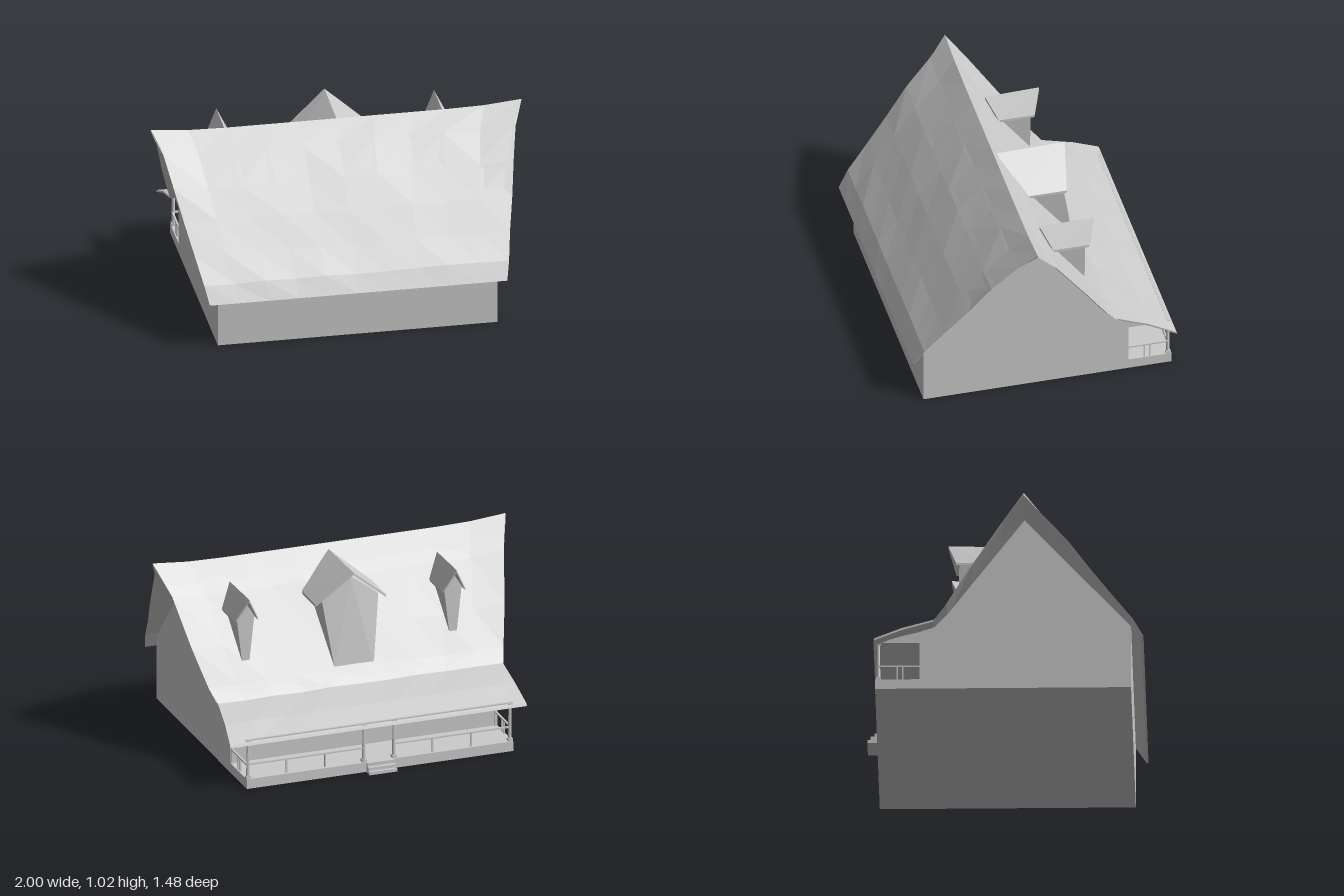
import * as THREE from 'three';
import { ConvexGeometry } from 'three/addons/geometries/ConvexGeometry.js';

const material = new THREE.MeshStandardMaterial({ color: 0xcccccc, flatShading: true, side: THREE.DoubleSide });
const CX = 0.01; // house body sits slightly off the roof centre

function part(group, name, geometry) {
  const mesh = new THREE.Mesh(geometry, material);
  mesh.name = name;
  group.add(mesh);
  return mesh;
}

function box(group, name, x0, x1, y0, y1, z0, z1) {
  const g = new THREE.BoxGeometry(x1 - x0, y1 - y0, z1 - z0);
  part(group, name, g).position.set((x0 + x1) / 2, (y0 + y1) / 2, (z0 + z1) / 2);
}

// Side profile given as [z, y] pairs, extruded along x
function sideExtrude(points, x0, x1) {
  const shape = new THREE.Shape(points.map(([z, y]) => new THREE.Vector2(z, y)));
  const g = new THREE.ExtrudeGeometry(shape, { depth: x1 - x0, bevelEnabled: false });
  return g.rotateY(-Math.PI / 2).translate(x1, 0, 0);
}

const hash = (i, j) => { const s = Math.sin(i * 12.99 + j * 78.23) * 4375.85; return s - Math.floor(s) - 0.5; };

// Main roof rows: z, y, left edge x, right edge x (front eave over the ridge to porch eave)
const rows = [
  [0.73, 0.28, -0.80, 0.805], [0.675, 0.372, -0.82, 0.825], [0.57, 0.495, -0.85, 0.85],
  [0.45, 0.638, -0.885, 0.885], [0.33, 0.775, -0.92, 0.915], [0.2, 0.908, -0.95, 0.95],
  [0.11, 1.0, -1, 1], [0.0, 0.86, -0.945, 0.935], [-0.17, 0.63, -0.885, 0.89],
  [-0.30, 0.452, -0.83, 0.84], [-0.37, 0.375, -0.805, 0.81], [-0.54, 0.325, -0.81, 0.835],
  [-0.685, 0.262, -0.82, 0.86],
];

// Thin curved sheet with a top skin, an under skin and closed edges
function mainRoof() {
  const cols = 10, n = rows.length, t = 0.014, pos = [], idx = [];
  for (let layer = 0; layer < 2; layer++) {
    rows.forEach(([z, y, xl, xr], i) => {
      const a = rows[Math.max(i - 1, 0)], b = rows[Math.min(i + 1, n - 1)];
      const dz = b[0] - a[0], dy = b[1] - a[1], len = Math.hypot(dz, dy);
      for (let j = 0; j <= cols; j++) {
        const u = j / cols;
        const x = THREE.MathUtils.lerp(xl, xr, u);
        const lift = (i > 3 && i < 9) ? Math.max(0, Math.abs(x) - 0.75) * 0.09 : 0;
        const inner = i > 0 && i < n - 1 && i !== 6 && j > 0 && j < cols;
        const wob = inner ? hash(i, j) * 0.01 : 0;
        pos.push(x, y + lift + wob - layer * t * Math.abs(dz) / len, z + layer * t * dy / len);
      }
    });
  }
  const w = cols + 1, off = n * w;
  const quad = (a, b, c, d) => idx.push(a, b, c, a, c, d);
  for (let i = 0; i < n - 1; i++) {
    for (let j = 0; j < cols; j++) {
      const a = i * w + j, b = a + 1, c = b + w, d = a + w;
      quad(a, b, c, d);
      quad(off + d, off + c, off + b, off + a);
    }
    const l = i * w, r = l + cols;
    quad(l, l + w, off + l + w, off + l);
    quad(r, off + r, off + r + w, r + w);
  }
  for (let j = 0; j < cols; j++) {
    const e = (n - 1) * w + j;
    quad(j, off + j, off + j + 1, j + 1);
    quad(e, e + 1, off + e + 1, off + e);
  }
  const g = new THREE.BufferGeometry();
  g.setAttribute('position', new THREE.Float32BufferAttribute(pos, 3));
  g.setIndex(idx);
  const flat = g.toNonIndexed();
  flat.computeVertexNormals();
  return flat;
}

// Dormer with a body that narrows downwards and a small gabled roof
function dormer(name, x, d) {
  const group = new THREE.Group();
  group.name = name;
  group.position.x = x;
  const V = (a, b, c) => new THREE.Vector3(a, b, c);
  const body = [V(0, d.ridgeY - 0.03, d.wallZ), V(0, d.ridgeY - 0.03, d.ridgeIn - 0.02)];
  for (const s of [-1, 1]) {
    body.push(V(s * d.footW, d.footY, d.footZ), V(s * d.wallW, d.eaveY + 0.01, d.wallZ), V(s * d.wallW, d.eaveY + 0.01, d.eaveIn));
    const slope = [];
    for (const t of [0, -0.014]) {
      slope.push(V(0, d.ridgeY + t, d.ridgeIn), V(0, d.ridgeY + 0.008 + t, d.ridgeOut),
        V(s * d.eaveW, d.eaveY + t, d.eaveOut), V(s * d.eaveW, d.eaveY + t, d.eaveIn));
    }
    part(group, 'dormerRoofSlope', new ConvexGeometry(slope));
  }
  part(group, 'dormerBody', new ConvexGeometry(body));
  return group;
}

export function createModel() {
  const model = new THREE.Group();
  model.name = 'cottage';
  const x0 = CX - 0.755, x1 = CX + 0.755;

  // House body with gable ends
  part(model, 'houseBody', sideExtrude([
    [0.675, 0], [0.675, 0.355], [0.11, 0.98], [-0.3, 0.432], [-0.37, 0.357], [-0.44, 0.335], [-0.44, 0],
  ], x0, x1));
  part(model, 'mainRoof', mainRoof());

  // Dormers on the porch side
  model.add(dormer('largeDormer', 0.012, {
    ridgeY: 0.972, ridgeIn: 0.085, ridgeOut: -0.288, eaveY: 0.81, eaveIn: -0.01, eaveOut: -0.25, eaveW: 0.2,
    wallW: 0.16, wallZ: -0.237, footW: 0.11, footY: 0.44, footZ: -0.303,
  }));
  for (const x of [-0.57, 0.605]) {
    model.add(dormer('smallDormer', x, {
      ridgeY: 0.905, ridgeIn: 0.0, ridgeOut: -0.297, eaveY: 0.785, eaveIn: -0.06, eaveOut: -0.255, eaveW: 0.066,
      wallW: 0.05, wallZ: -0.238, footW: 0.022, footY: 0.545, footZ: -0.242,
    }));
  }

  // Porch floor, steps, beams and end panels
  const porch = new THREE.Group();
  porch.name = 'porch';
  model.add(porch);
  box(porch, 'porchFloor', x0, x1, 0, 0.055, -0.683, -0.43);
  [[0.055, -0.698], [0.036, -0.718], [0.018, -0.735]].forEach(([y, z]) =>
    box(porch, 'step', CX - 0.078, CX + 0.078, 0, y, z, -0.68));
  box(porch, 'frontBeam', x0, x1, 0.262, 0.275, -0.672, -0.658);
  for (const s of [-1, 1]) {
    const e = CX + s * 0.747;
    part(porch, 'endPanel', sideExtrude([[-0.43, 0.268], [-0.43, 0.335], [-0.54, 0.308], [-0.665, 0.268]], e - 0.008, e + 0.008));
    box(porch, 'wallPost', e - 0.007, e + 0.007, 0.055, 0.27, -0.448, -0.438);

    // Posts with base and capital at the corner and beside the steps
    for (const d of [0.742, 0.085]) {
      const px = CX + s * d;
      part(porch, 'post', new THREE.CylinderGeometry(0.008, 0.01, 0.22, 8)).position.set(px, 0.165, -0.665);
      box(porch, 'postBase', px - 0.013, px + 0.013, 0.055, 0.07, -0.678, -0.652);
      box(porch, 'postCapital', px - 0.013, px + 0.013, 0.255, 0.27, -0.678, -0.652);
    }

    // Railings with sparse balusters
    const [a, b] = s < 0 ? [CX - 0.742, CX - 0.085] : [CX + 0.085, CX + 0.742];
    box(porch, 'frontRail', a, b, 0.129, 0.137, -0.67, -0.66);
    box(porch, 'endRail', e - 0.005, e + 0.005, 0.129, 0.137, -0.665, -0.44);
    for (const f of [1 / 3, 2 / 3]) {
      const bx = a + (b - a) * f;
      box(porch, 'baluster', bx - 0.004, bx + 0.004, 0.055, 0.13, -0.669, -0.661);
    }
    for (const z of [-0.535, -0.565]) box(porch, 'baluster', e - 0.004, e + 0.004, 0.055, 0.13, z - 0.004, z + 0.004);
  }
  return model;
}
